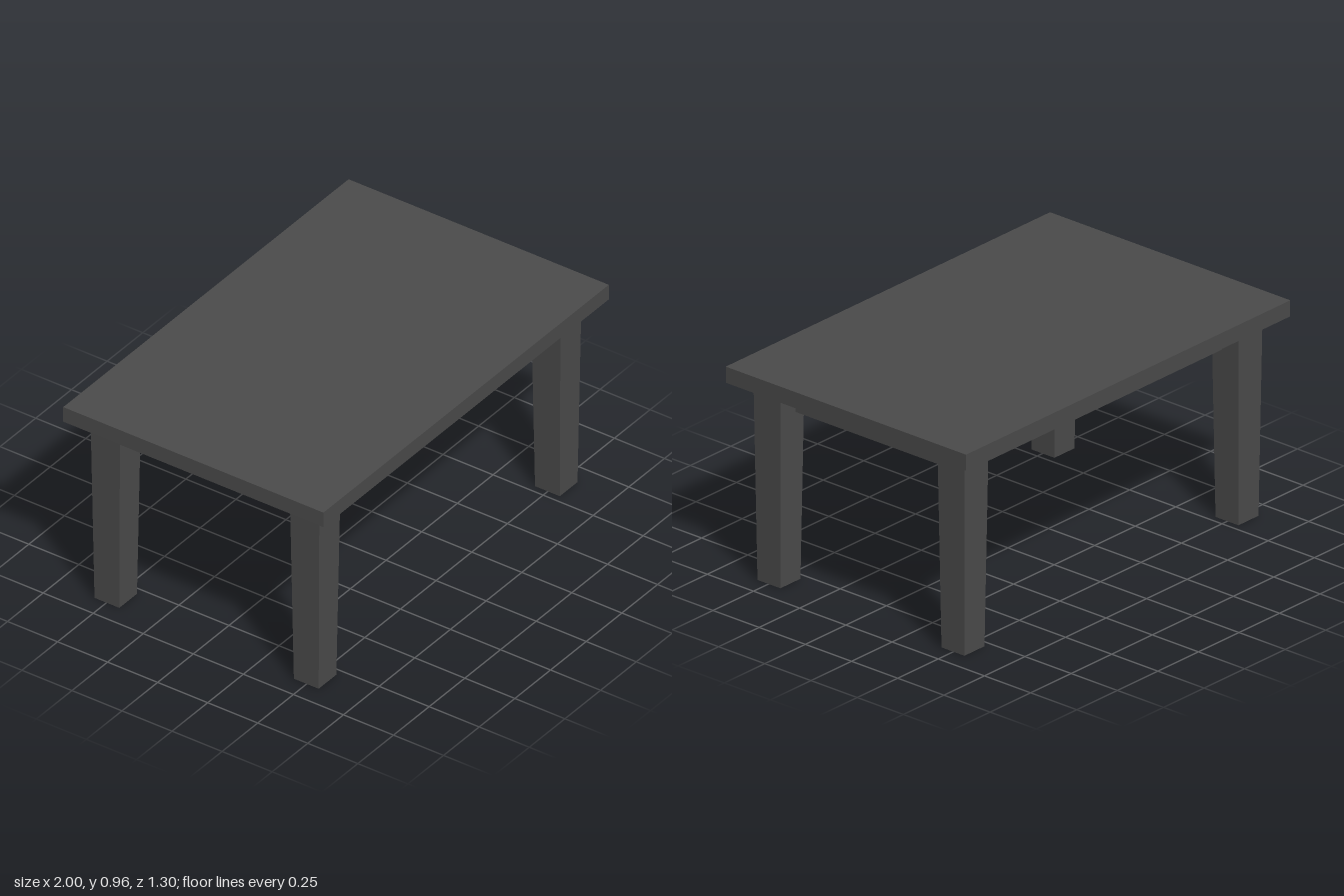
import * as THREE from 'three';

const LEG_HEIGHT = 0.89, TOP_Y = 0.96;
const LEG_X = 0.845, LEG_Z = 0.498;
const LEG_TOP = 0.147, LEG_FOOT = 0.124;

export function createModel() {
  const table = new THREE.Group();
  table.name = 'table';
  const charcoal = new THREE.MeshStandardMaterial({ color: 0x4b4b4b });
  charcoal.name = 'charcoal';

  function add(name, geometry, x, y, z) {
    const mesh = new THREE.Mesh(geometry, charcoal);
    mesh.name = name;
    mesh.position.set(x, y, z);
    table.add(mesh);
  }

  // Flat slab top
  add('tableTop', new THREE.BoxGeometry(2, TOP_Y - LEG_HEIGHT + 0.002, 1.3), 0, (TOP_Y + LEG_HEIGHT - 0.002) / 2, 0);

  // Square leg, narrowing evenly towards the foot
  const leg = new THREE.BoxGeometry(LEG_TOP, LEG_HEIGHT, LEG_TOP);
  const p = leg.attributes.position;
  for (let i = 0; i < p.count; i++) {
    if (p.getY(i) < 0) {
      p.setX(i, p.getX(i) * LEG_FOOT / LEG_TOP);
      p.setZ(i, p.getZ(i) * LEG_FOOT / LEG_TOP);
    }
  }
  leg.computeVertexNormals();

  // Rails run between the legs, with inner faces level with the legs
  const railHeight = 0.125, railThick = 0.055, railY = 0.765 + railHeight / 2;
  const longRail = new THREE.BoxGeometry(1.55, railHeight, railThick);
  const shortRail = new THREE.BoxGeometry(railThick, railHeight, 0.85);

  for (const s of [-1, 1]) {
    const side = s > 0 ? 'left' : 'right';
    const end = s > 0 ? 'front' : 'back';
    add(end + 'Rail', longRail, 0, railY, s * 0.451);
    add(side + 'Rail', shortRail, s * 0.798, railY, 0);
    add(side + 'FrontLeg', leg, s * LEG_X, LEG_HEIGHT / 2, LEG_Z);
    add(side + 'BackLeg', leg, s * LEG_X, LEG_HEIGHT / 2, -LEG_Z);
  }
  return table;
}
